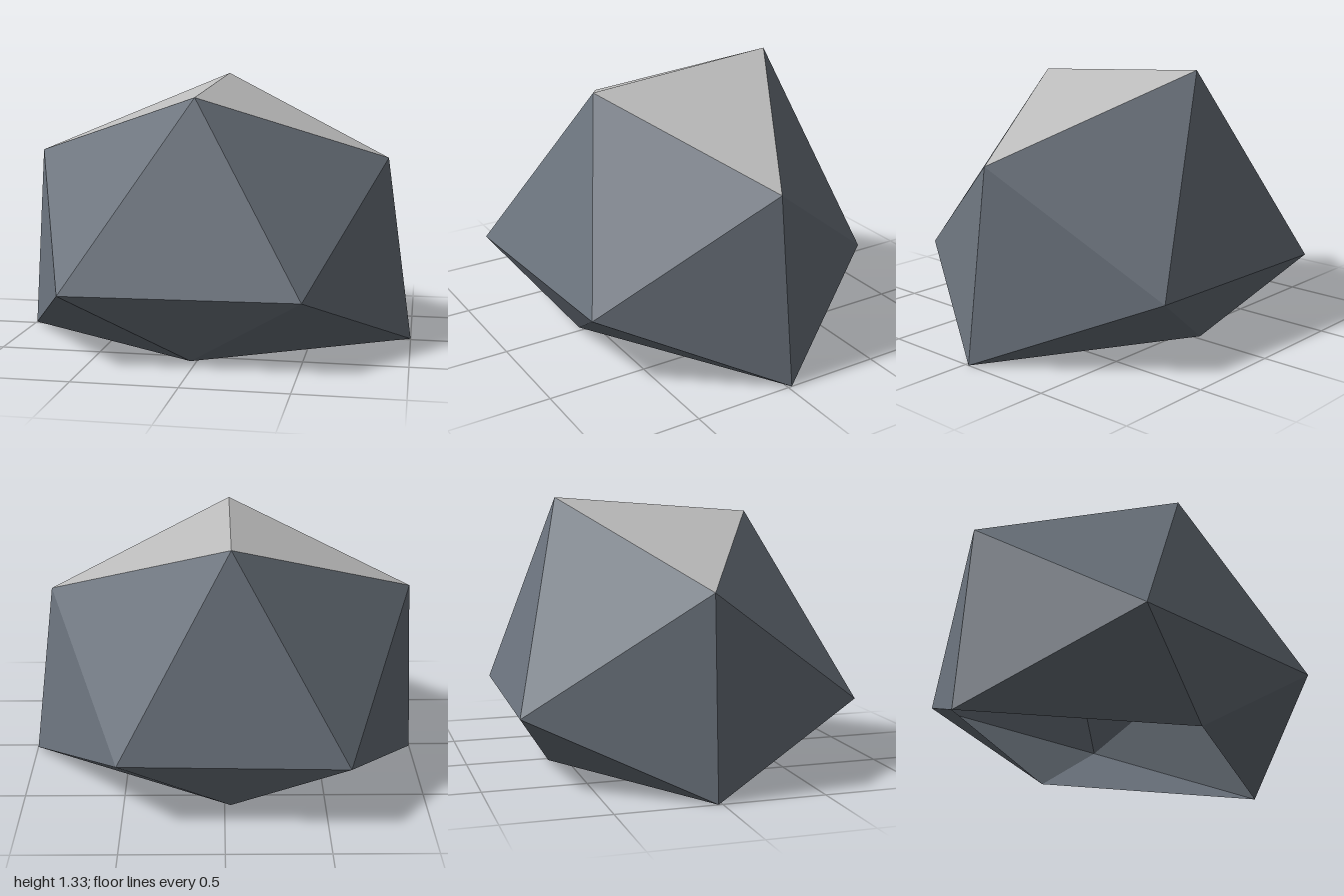
import * as THREE from 'three';

// Corners of the boulder, a squashed twenty-sided solid with an open base
const P = {
  topFront: [-0.03, 1.25, 0.46], topBack: [-0.03, 1.33, -0.54],
  shoulderL: [-0.94, 0.94, -0.02], shoulderR: [0.87, 0.93, -0.02],
  frontL: [-0.61, 0.35, 0.83], frontR: [0.52, 0.35, 0.78],
  backL: [-0.59, 0.35, -0.83], backR: [0.51, 0.35, -0.8],
  footL: [-1, 0, -0.02], footR: [1, 0, -0.02],
  footFront: [-0.03, 0, 0.58], footBack: [-0.03, 0, -0.59],
};
const centre = new THREE.Vector3(-0.02, 0.6, 0);

// Flat facets from corner names, each wound to face outward
function facets(list) {
  const pos = [];
  for (const names of list) {
    const [a, b, c] = names.map((n) => new THREE.Vector3(...P[n]));
    const normal = b.clone().sub(a).cross(c.clone().sub(a));
    const outward = normal.dot(a.clone().sub(centre)) > 0;
    for (const v of outward ? [a, b, c] : [a, c, b]) pos.push(v.x, v.y, v.z);
  }
  const g = new THREE.BufferGeometry();
  g.setAttribute('position', new THREE.Float32BufferAttribute(pos, 3));
  g.computeVertexNormals();
  return g;
}

export function createModel() {
  const stone = new THREE.MeshStandardMaterial({ color: 0x6c747e, flatShading: true, side: THREE.DoubleSide });
  stone.name = 'slate stone';
  const pale = new THREE.MeshStandardMaterial({ color: 0xbcbcbc, flatShading: true, side: THREE.DoubleSide });
  pale.name = 'pale stone';

  const sides = [];
  const cap = [];
  for (const s of ['L', 'R']) {
    // Pale roof facet on each side of the ridge
    cap.push(['topFront', 'topBack', 'shoulder' + s]);
    for (const [end, top, foot] of [['front', 'topFront', 'footFront'], ['back', 'topBack', 'footBack']]) {
      sides.push(
        [top, 'shoulder' + s, end + s], // upper slope
        ['shoulder' + s, end + s, 'foot' + s], // flank
        [end + s, 'foot' + s, foot], // undercut
      );
    }
  }
  // Front and back middle facets
  for (const [end, top, foot] of [['front', 'topFront', 'footFront'], ['back', 'topBack', 'footBack']]) {
    sides.push([top, end + 'L', end + 'R'], [foot, end + 'L', end + 'R']);
  }

  const group = new THREE.Group();
  group.name = 'boulder';
  for (const [name, list, material] of [['rockSides', sides, stone], ['rockCap', cap, pale]]) {
    const mesh = new THREE.Mesh(facets(list), material);
    mesh.name = name;
    group.add(mesh);
  }
  return group;
}
